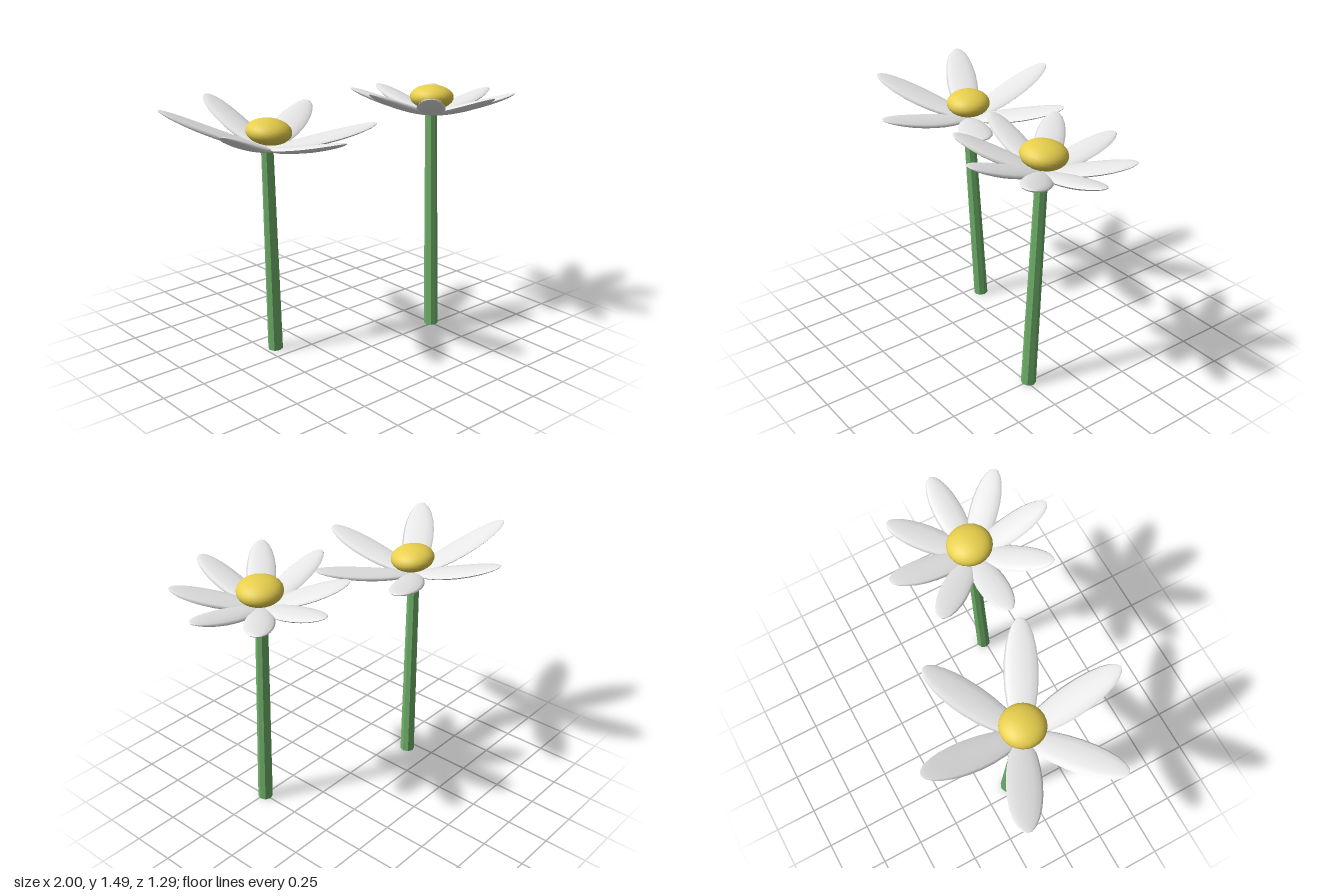
import * as THREE from 'three';

const UP = new THREE.Vector3(0, 1, 0);

// Thin pointed ellipsoid running from the flower centre out along +z, curling upwards
function petalGeometry(length, width, thickness, rise) {
  const g = new THREE.SphereGeometry(1, 12, 12);
  g.rotateX(Math.PI / 2);
  const p = g.attributes.position;
  for (let i = 0; i < p.count; i++) {
    const t = (p.getZ(i) + 1) / 2;
    const taper = 0.84 + 0.3 * t - 0.16 * t * t;
    p.setXYZ(
      i,
      p.getX(i) * width * taper,
      p.getY(i) * thickness + rise * (0.7 * t + 0.3 * t * t),
      t * length
    );
  }
  g.computeVertexNormals();
  return g;
}

export function createModel() {
  const white = new THREE.MeshStandardMaterial({ color: 0xeeeeee });
  white.name = 'petal white';
  const yellow = new THREE.MeshStandardMaterial({ color: 0xf0d750 });
  yellow.name = 'centre yellow';
  const green = new THREE.MeshStandardMaterial({ color: 0x6fb069 });
  green.name = 'stem green';
  green.flatShading = true;

  function flower(name, { base, top, normal, petals, length, width, rise, turn }) {
    const group = new THREE.Group();
    group.name = name;

    // Leaning, slightly tapered stem
    const a = new THREE.Vector3(...base);
    const b = new THREE.Vector3(...top);
    const axis = b.clone().sub(a);
    const stem = new THREE.Mesh(new THREE.CylinderGeometry(0.034, 0.043, axis.length(), 8), green);
    stem.name = 'stem';
    stem.position.copy(a).add(b).multiplyScalar(0.5);
    stem.quaternion.setFromUnitVectors(UP, axis.normalize());
    group.add(stem);

    // Tilted flower head
    const head = new THREE.Group();
    head.name = 'flowerHead';
    head.position.copy(b);
    head.quaternion.setFromUnitVectors(UP, new THREE.Vector3(...normal).normalize());
    group.add(head);

    const disc = new THREE.Mesh(new THREE.SphereGeometry(0.127, 24, 16), yellow);
    disc.name = 'flowerCentre';
    disc.scale.y = 0.56;
    disc.position.y = 0.1;
    head.add(disc);

    const geometry = petalGeometry(length, width, 0.022, rise);
    for (let i = 0; i < petals; i++) {
      const petal = new THREE.Mesh(geometry, white);
      petal.name = 'petal' + (i + 1);
      petal.rotation.y = turn + (i / petals) * Math.PI * 2;
      head.add(petal);
    }
    return group;
  }

  const model = new THREE.Group();
  model.name = 'flowers';
  model.add(
    flower('rightFlower', {
      base: [-0.44, 0, -0.1], top: [-0.49, 1.21, -0.065], normal: [0.09, 1, 0.06],
      petals: 6, length: 0.595, width: 0.098, rise: 0.18, turn: 0.035,
    }),
    flower('leftFlower', {
      base: [0.5, 0, 0.24], top: [0.513, 1.3, 0.178], normal: [0.085, 1, -0.058],
      petals: 8, length: 0.475, width: 0.085, rise: 0.135, turn: -0.015,
    })
  );
  return model;
}
